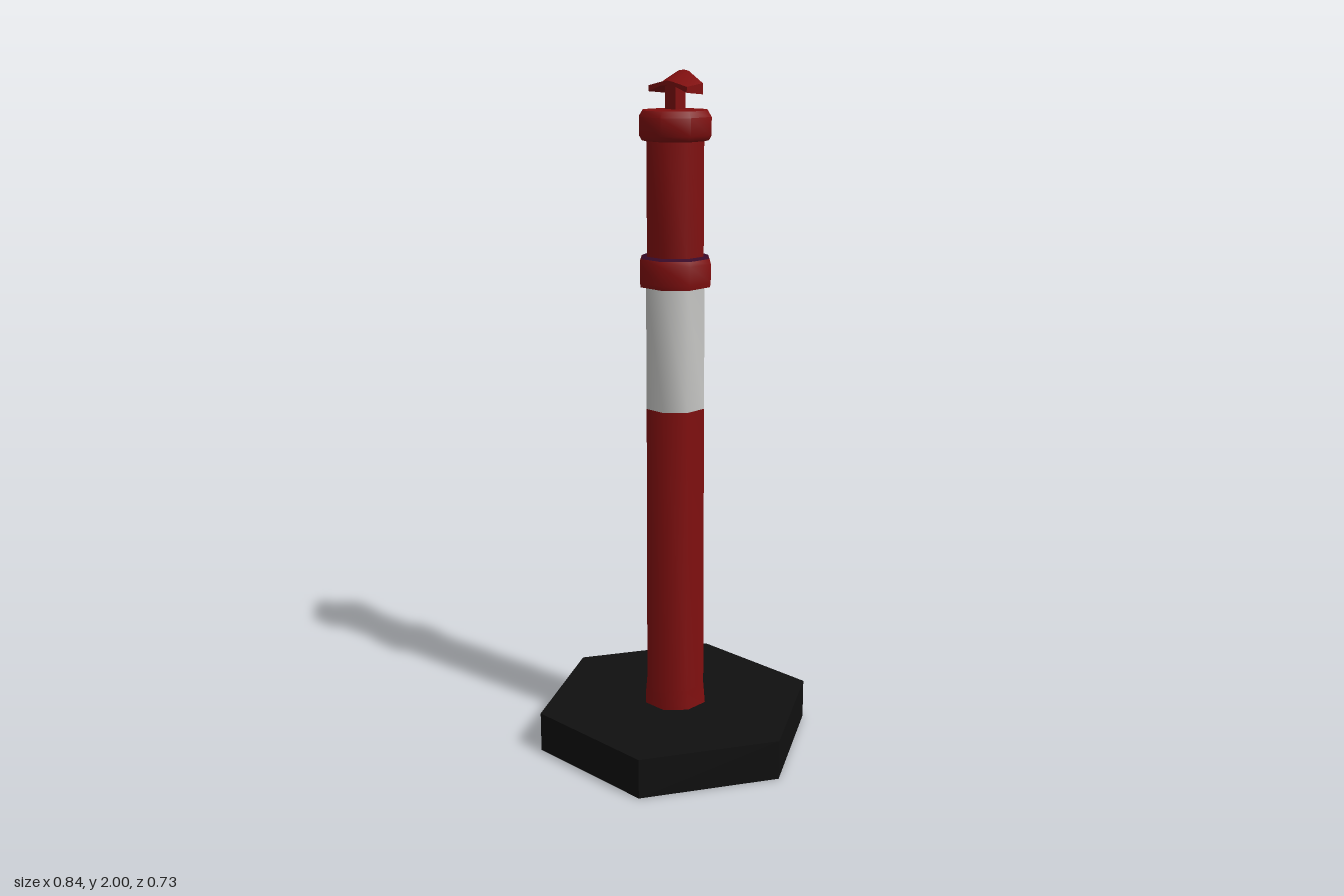
import * as THREE from 'three';
import { toCreasedNormals } from 'three/addons/utils/BufferGeometryUtils.js';

const SIDES = 8;
const CORNER = 1 / Math.cos(Math.PI / SIDES); // half-width across flats to corner radius

export function createModel() {
  const group = new THREE.Group();
  const red = new THREE.MeshStandardMaterial({ name: 'red plastic', color: 0x800f0f });
  const white = new THREE.MeshStandardMaterial({ name: 'reflective white', color: 0xc8c8c6 });
  const black = new THREE.MeshStandardMaterial({ name: 'black rubber', color: 0x101010 });
  const plum = new THREE.MeshStandardMaterial({ name: 'dark plum', color: 0x380a28 });

  function add(name, geometry, material) {
    const mesh = new THREE.Mesh(geometry, material);
    mesh.name = name;
    group.add(mesh);
    return mesh;
  }

  // Eight-sided turned part, profile given as [half-width, height] from bottom to top
  function turned(name, profile, material) {
    const points = profile.map(([r, y]) => new THREE.Vector2(r * CORNER, y));
    const lathe = new THREE.LatheGeometry(points, SIDES, Math.PI / SIDES);
    return add(name, toCreasedNormals(lathe, 0.9), material);
  }

  // Heavy hexagonal foot with corners on the x axis
  const foot = new THREE.CylinderGeometry(0.42, 0.42, 0.12, 6);
  foot.rotateY(Math.PI / 2).translate(0, 0.06, 0);
  add('base', toCreasedNormals(foot, 0.5), black);

  // Post
  turned('lowerPost', [[0.09, 0.12], [0.085, 0.18], [0.083, 1.045]], red);
  turned('reflectiveSleeve', [[0.083, 1.045], [0.083, 1.405]], white);
  turned('neck', [[0.08, 1.47], [0.08, 1.83]], red);

  // Rounded collars
  turned('lowerCollar', [[0.08, 1.4], [0.098, 1.402], [0.1, 1.415], [0.1, 1.468], [0.095, 1.482]], red);
  turned('lowerCollarLedge', [[0.095, 1.482], [0.08, 1.488]], plum);
  turned('upperCollar', [[0.078, 1.808], [0.093, 1.812], [0.1, 1.825], [0.1, 1.875],
    [0.09, 1.892], [0, 1.895]], red);

  // Stem of the tape hook
  const stem = new THREE.BoxGeometry(0.04, 0.08, 0.04);
  stem.translate(0, 1.925, 0);
  add('hookStem', stem, red);

  // Arched hook head, lower at the front than at the back
  const outline = [[-0.074, 1.935], [-0.025, 1.952], [0.025, 1.952], [0.074, 1.935],
    [0.074, 1.965], [0.02, 1.997], [0, 2], [-0.02, 1.997], [-0.074, 1.965]];
  const shape = new THREE.Shape(outline.map(([x, y]) => new THREE.Vector2(x, y)));
  const head = new THREE.ExtrudeGeometry(shape, { depth: 0.064, bevelEnabled: false });
  head.translate(0, 0, -0.033);
  const pos = head.attributes.position;
  for (let i = 0; i < pos.count; i++) {
    const y = pos.getY(i);
    if (pos.getZ(i) > 0) pos.setY(i, y > 1.98 ? y - 0.028 : y > 1.96 ? y - 0.008 : y + 0.006);
  }
  head.computeVertexNormals();
  add('hookHead', toCreasedNormals(head, 0.5), red);

  return group;
}
